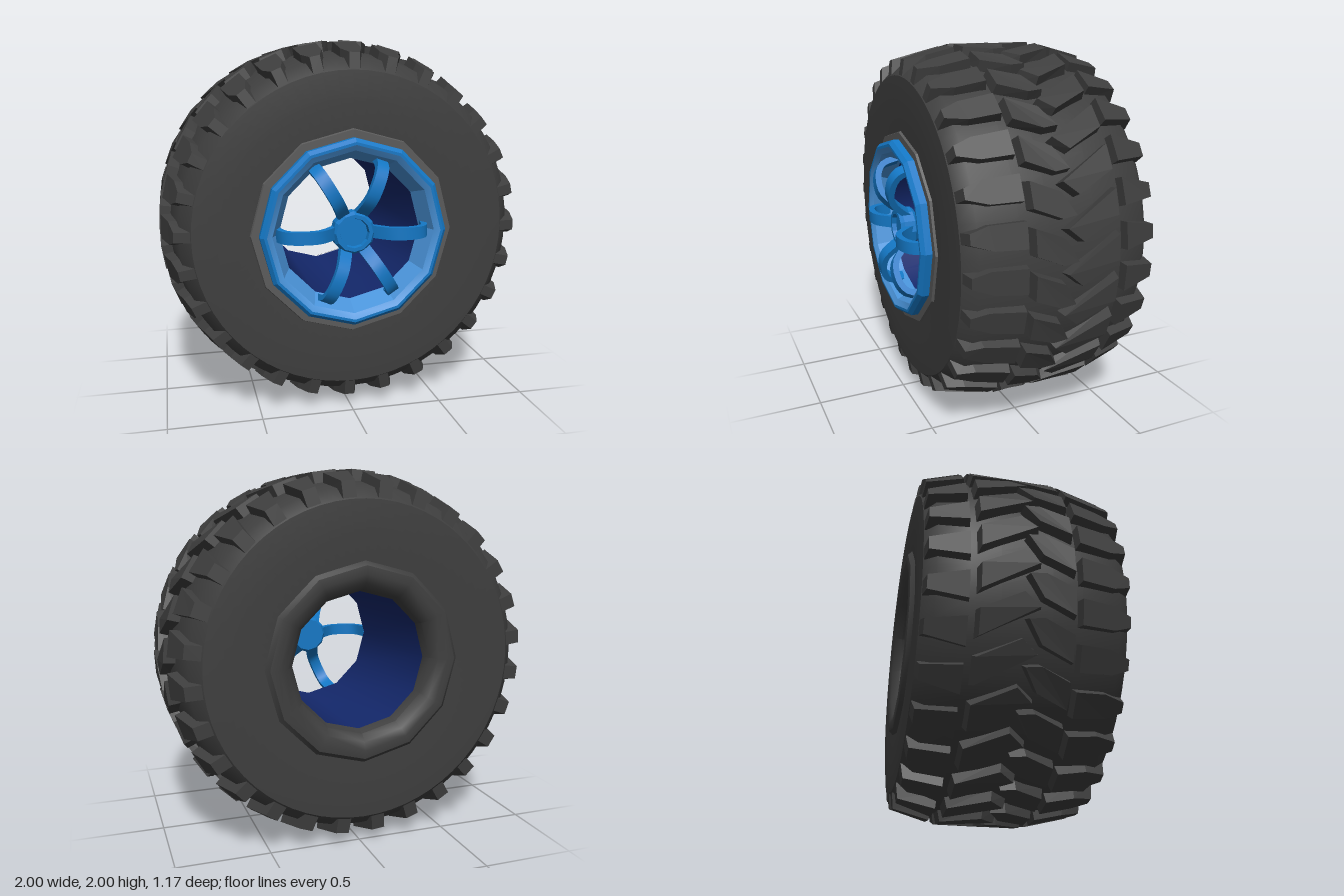
import * as THREE from 'three';
import { toCreasedNormals } from 'three/addons/utils/BufferGeometryUtils.js';

const COUNT = 28; // tread blocks per row

function material(name, color) {
  const m = new THREE.MeshStandardMaterial({ color });
  m.name = name;
  return m;
}

// Revolves [radius, z] points around the wheel axis (z)
function revolve(points, segments, crease) {
  const geo = new THREE.LatheGeometry(points.map(([r, z]) => new THREE.Vector2(r, z)), segments);
  geo.rotateX(Math.PI / 2);
  return toCreasedNormals(geo, crease);
}

// One row of tread blocks; outline is convex [z, angle] pairs, topRadius is a function of z
function treadRow(outline, topRadius, depth) {
  let area = 0;
  outline.forEach(([z, a], i) => {
    const [z2, a2] = outline[(i + 1) % outline.length];
    area += z * a2 - z2 * a;
  });
  const ring = area > 0 ? outline : [...outline].reverse();
  const n = ring.length;
  const cz = ring.reduce((s, p) => s + p[0], 0) / n;
  const ca = ring.reduce((s, p) => s + p[1], 0) / n;
  const positions = [];
  for (let k = 0; k < COUNT; k++) {
    const turn = (k / COUNT) * Math.PI * 2;
    const corner = ([z, a], scale, drop) => {
      const zz = cz + (z - cz) * scale;
      const aa = ca + (a - ca) * scale + turn;
      const r = topRadius(z) - drop;
      return [r * Math.sin(aa), r * Math.cos(aa), zz];
    };
    const top = ring.map((p) => corner(p, 0.97, 0));
    const base = ring.map((p) => corner(p, 1.08, depth));
    for (let i = 0; i < n; i++) {
      const j = (i + 1) % n;
      positions.push(...base[i], ...base[j], ...top[j], ...base[i], ...top[j], ...top[i]);
      if (i > 0 && i < n - 1) positions.push(...top[0], ...top[i], ...top[j]);
    }
  }
  const geo = new THREE.BufferGeometry();
  geo.setAttribute('position', new THREE.Float32BufferAttribute(positions, 3));
  geo.computeVertexNormals();
  return geo;
}

// Curved flat bar: a band along [radius, z] points, extruded sideways
function spokeGeometry(path, thickness, width) {
  const curve = new THREE.SplineCurve(path.map(([r, z]) => new THREE.Vector2(r, z)));
  const upper = [], lower = [];
  for (let i = 0; i <= 14; i++) {
    const p = curve.getPoint(i / 14), t = curve.getTangent(i / 14);
    const side = new THREE.Vector2(-t.y, t.x).multiplyScalar(thickness / 2);
    upper.push(p.clone().add(side));
    lower.unshift(p.clone().sub(side));
  }
  const geo = new THREE.ExtrudeGeometry(new THREE.Shape([...upper, ...lower]), {
    depth: width, bevelEnabled: false,
  });
  geo.translate(0, 0, -width / 2);
  geo.rotateX(Math.PI / 2);
  return toCreasedNormals(geo, 0.6);
}

export function createModel() {
  const rubber = material('rubber', 0x3e3e3e);
  const beadGrey = material('bead grey', 0x5a5a5a);
  const rimBlue = material('rim blue', 0x1478c6);
  const lightBlue = material('light blue', 0x4a94da);
  const darkBlue = material('dark blue', 0x14286c);

  const group = new THREE.Group();
  group.name = 'wheel';
  const wheel = new THREE.Group();
  wheel.name = 'wheelBody';
  wheel.position.y = 1;
  group.add(wheel);
  const add = (name, geo, mat) => {
    const mesh = new THREE.Mesh(geo, mat);
    mesh.name = name;
    wheel.add(mesh);
    return mesh;
  };

  // Tyre carcass
  add('tyre', revolve([
    [0.48, -0.555], [0.7, -0.566], [0.84, -0.56], [0.9, -0.5], [0.935, -0.35], [0.945, -0.2],
    [0.945, 0.05], [0.935, 0.2], [0.9, 0.4], [0.84, 0.464], [0.7, 0.472], [0.48, 0.46],
  ], 64, 0.7), rubber);

  // Tread: two outer rows and an offset chevron in the middle
  add('frontShoulderTread', treadRow(
    [[0.18, -0.05], [0.18, 0.085], [0.34, 0.08], [0.45, 0.04], [0.45, -0.02], [0.36, -0.05]],
    (z) => 0.99 - (z - 0.18) * 0.23, 0.085), rubber);
  add('frontChevronTread', treadRow(
    [[0.15, -0.01], [0.15, 0.125], [0.0, 0.19], [-0.08, 0.18], [-0.01, 0.06]],
    () => 0.998, 0.07), rubber);
  add('rearChevronTread', treadRow(
    [[-0.31, -0.155], [-0.31, -0.02], [-0.1, 0.085], [-0.02, 0.015]],
    () => 0.998, 0.07), rubber);
  add('rearShoulderTread', treadRow(
    [[-0.355, 0.02], [-0.355, 0.165], [-0.55, 0.14], [-0.55, 0.06]],
    (z) => 0.985 + (z + 0.355) * 0.27, 0.085), rubber);

  // Bead rings on both sides
  add('frontBead', revolve([[0.545, 0.465], [0.54, 0.478], [0.46, 0.478]], 12, 0.3), beadGrey);
  add('rearBead', revolve([
    [0.37, -0.48], [0.385, -0.53], [0.42, -0.57], [0.465, -0.585], [0.51, -0.58], [0.535, -0.555],
  ], 12, 0.6), rubber);

  // Rim
  add('rimEdge', revolve([[0.5, 0.45], [0.5, 0.515], [0.48, 0.535], [0.465, 0.535]], 12, 0.3), rimBlue);
  add('rimFace', revolve([[0.465, 0.535], [0.435, 0.515], [0.385, 0.41]], 12, 0.3), lightBlue);
  add('rimBarrel', revolve([[0.385, 0.41], [0.38, -0.5]], 12, 0.6), darkBlue);

  // Hub with a recessed cap
  add('hub', revolve([
    [0, 0.41], [0.1, 0.41], [0.115, 0.43], [0.115, 0.49], [0.1, 0.51], [0.08, 0.51],
    [0.075, 0.485], [0, 0.485],
  ], 12, 0.3), rimBlue);

  // Arched spokes
  const spoke = spokeGeometry(
    [[0.4, 0.43], [0.375, 0.52], [0.31, 0.562], [0.21, 0.562], [0.14, 0.51], [0.09, 0.45]],
    0.034, 0.066);
  for (const degrees of [0, 68, 121, 180, 247, 303]) {
    add('spoke', spoke, rimBlue).rotation.z = THREE.MathUtils.degToRad(degrees);
  }
  return group;
}
